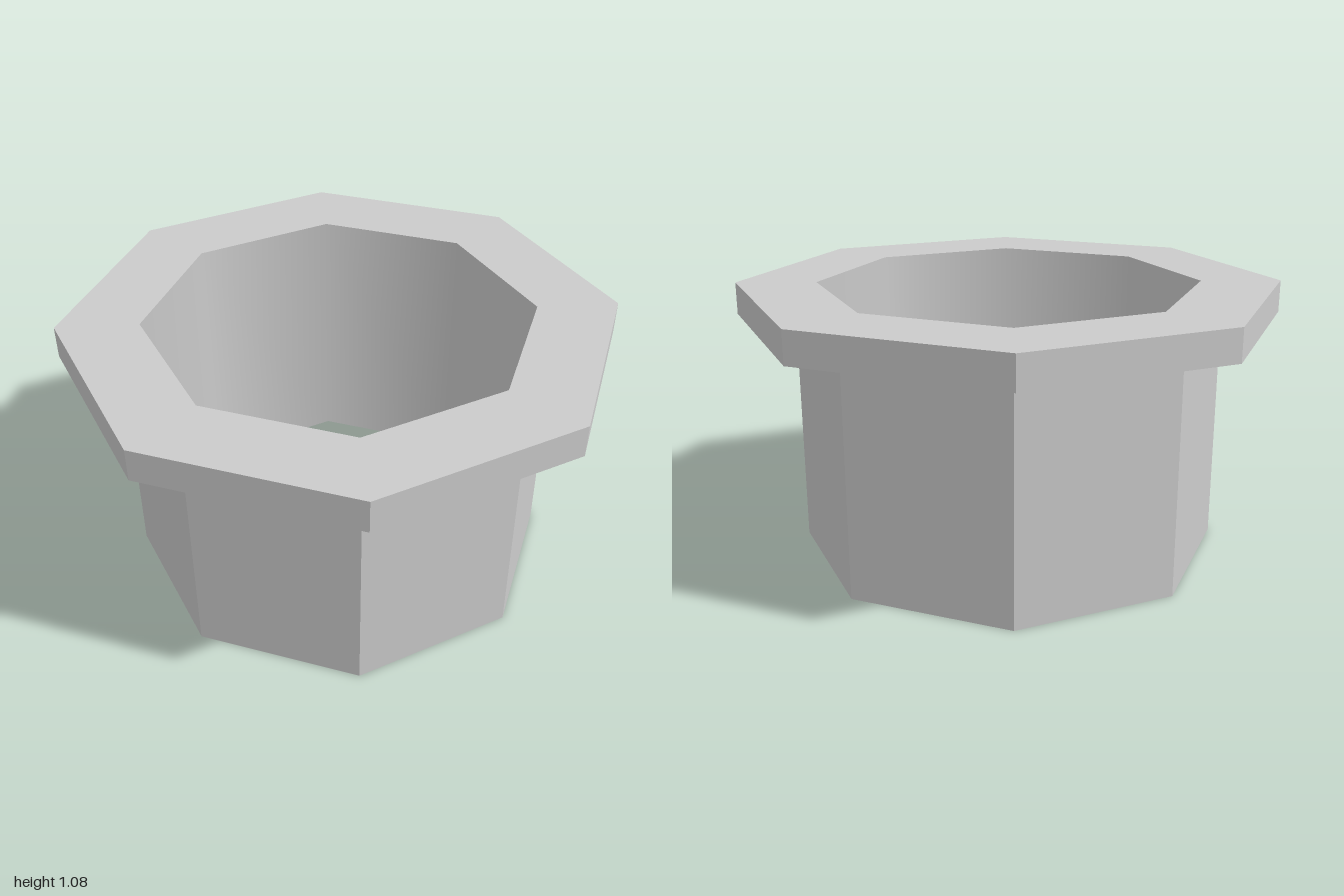
import * as THREE from 'three';

const SIDES = 8;
const flat = new THREE.MeshStandardMaterial({ color: 0xcccccc, flatShading: true });
const smooth = new THREE.MeshStandardMaterial({ color: 0xcccccc });

// Octagonal ring surface; profile gives [distance to the flat side, height]
function octagon(name, profile, material) {
  const toCorner = 1 / Math.cos(Math.PI / SIDES);
  const points = profile.map(([d, y]) => new THREE.Vector2(d * toCorner, y));
  const mesh = new THREE.Mesh(new THREE.LatheGeometry(points, SIDES, Math.PI / SIDES), material);
  mesh.name = name;
  return mesh;
}

export function createModel() {
  const bore = 0.705, wall = 0.787, rim = 1, under = 0.953, top = 1.08;
  const group = new THREE.Group();
  group.name = 'flangedSleeve';

  // Sleeve: bottom edge and outer wall
  group.add(octagon('sleeve', [[bore, 0], [wall, 0], [wall, under]], flat));

  // Flange: underside, outer edge and top face
  group.add(octagon('flange', [[wall, under], [rim, under], [rim, top], [bore, top]], flat));

  // Open bore with softly shaded walls, facing inward
  group.add(octagon('bore', [[bore, top], [bore, 0]], smooth));

  return group;
}
